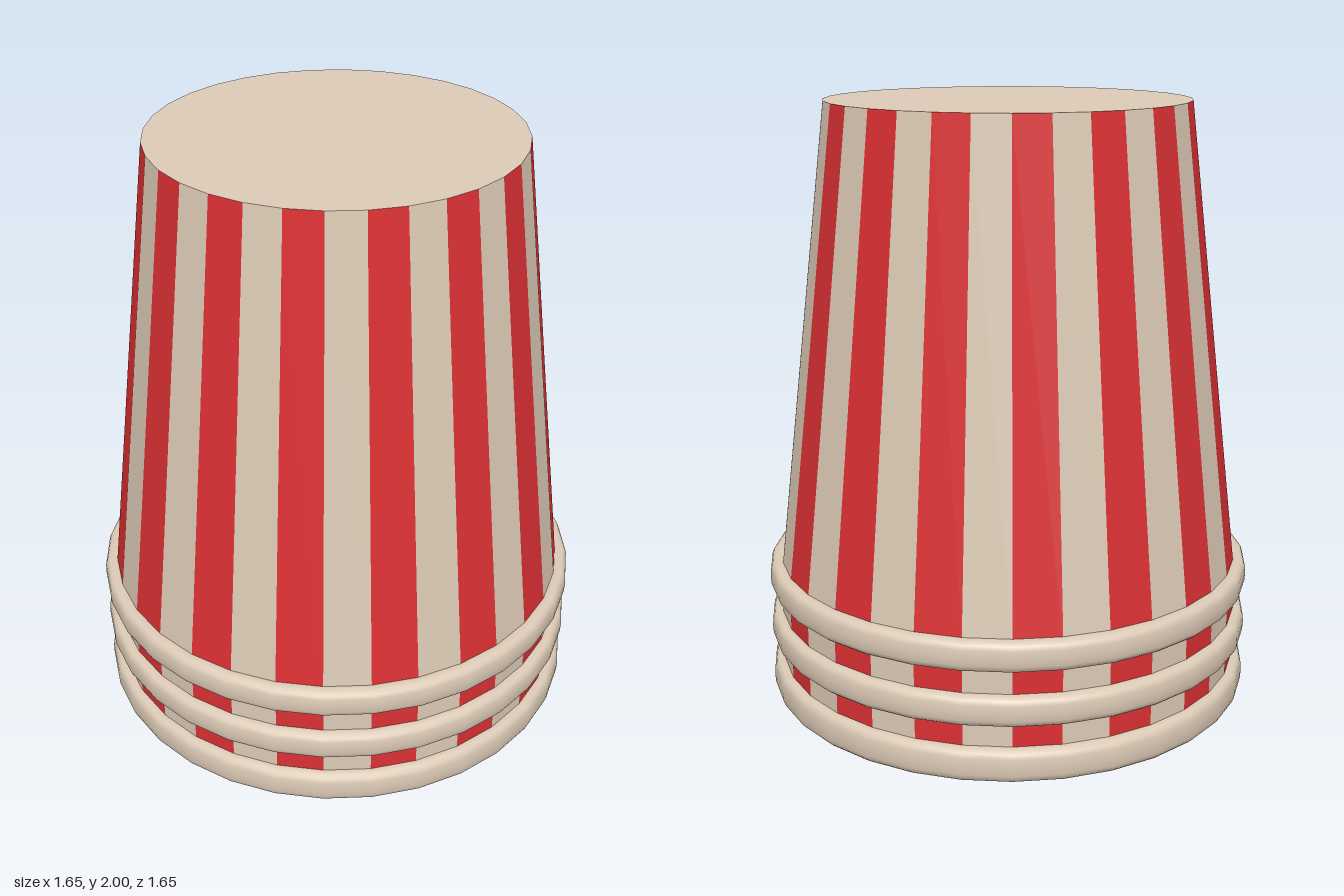
import * as THREE from 'three';

const SEGMENTS = 32;

const red = new THREE.MeshStandardMaterial({ color: 0xdb3033 });
red.name = 'stripe red';
const cream = new THREE.MeshStandardMaterial({ color: 0xdccab6 });
cream.name = 'cream';

// Turned surface from [radius, height] pairs, faceted or smooth
function turned(profile, faceted) {
  const points = profile.map(([r, y]) => new THREE.Vector2(r, y));
  const lathe = new THREE.LatheGeometry(points, SEGMENTS);
  if (!faceted) return lathe;
  const perSegment = (points.length - 1) * 6;
  for (let i = 0; i < SEGMENTS; i++) lathe.addGroup(i * perSegment, perSegment, i % 2);
  const flat = lathe.toNonIndexed();
  flat.computeVertexNormals();
  return flat;
}

export function createModel() {
  const cup = new THREE.Group();
  cup.name = 'upturnedStripedCup';
  const add = (name, geometry, material) => {
    const mesh = new THREE.Mesh(geometry, material);
    mesh.name = name;
    cup.add(mesh);
    return mesh;
  };

  // Striped outer wall: one facet per stripe
  add('stripedWall', turned([[0.785, 0.04], [0.785, 0.42], [0.595, 2]], true), [red, cream]);

  // Plain hollow inside
  add('innerWall', turned([[0.58, 1.985], [0.768, 0.42], [0.768, 0.04]], true), [cream, cream]);
  const ceiling = add('innerBase', new THREE.CircleGeometry(0.58, SEGMENTS), cream);
  ceiling.rotation.x = Math.PI / 2;
  ceiling.position.y = 1.985;

  // Closed base of the cup, facing up
  const base = add('base', new THREE.CircleGeometry(0.595, SEGMENTS), cream);
  base.rotation.x = -Math.PI / 2;
  base.position.y = 2;

  // Three rounded rings around the mouth
  const ring = [];
  for (let i = 0; i <= 16; i++) {
    const a = (i / 16) * Math.PI * 2 - Math.PI;
    const squash = (v) => Math.sign(v) * Math.pow(Math.abs(v), 0.7);
    ring.push([0.789 + 0.034 * squash(Math.cos(a)), 0.05 * squash(Math.sin(a))]);
  }
  const ringGeometry = turned(ring, false);
  [['lipRing', 0.056, 1.1], ['middleRing', 0.237, 1], ['upperRing', 0.417, 1]].forEach(([name, y, tall]) => {
    const mesh = add(name, ringGeometry, cream);
    mesh.position.y = y;
    mesh.scale.y = tall;
  });

  return cup;
}
